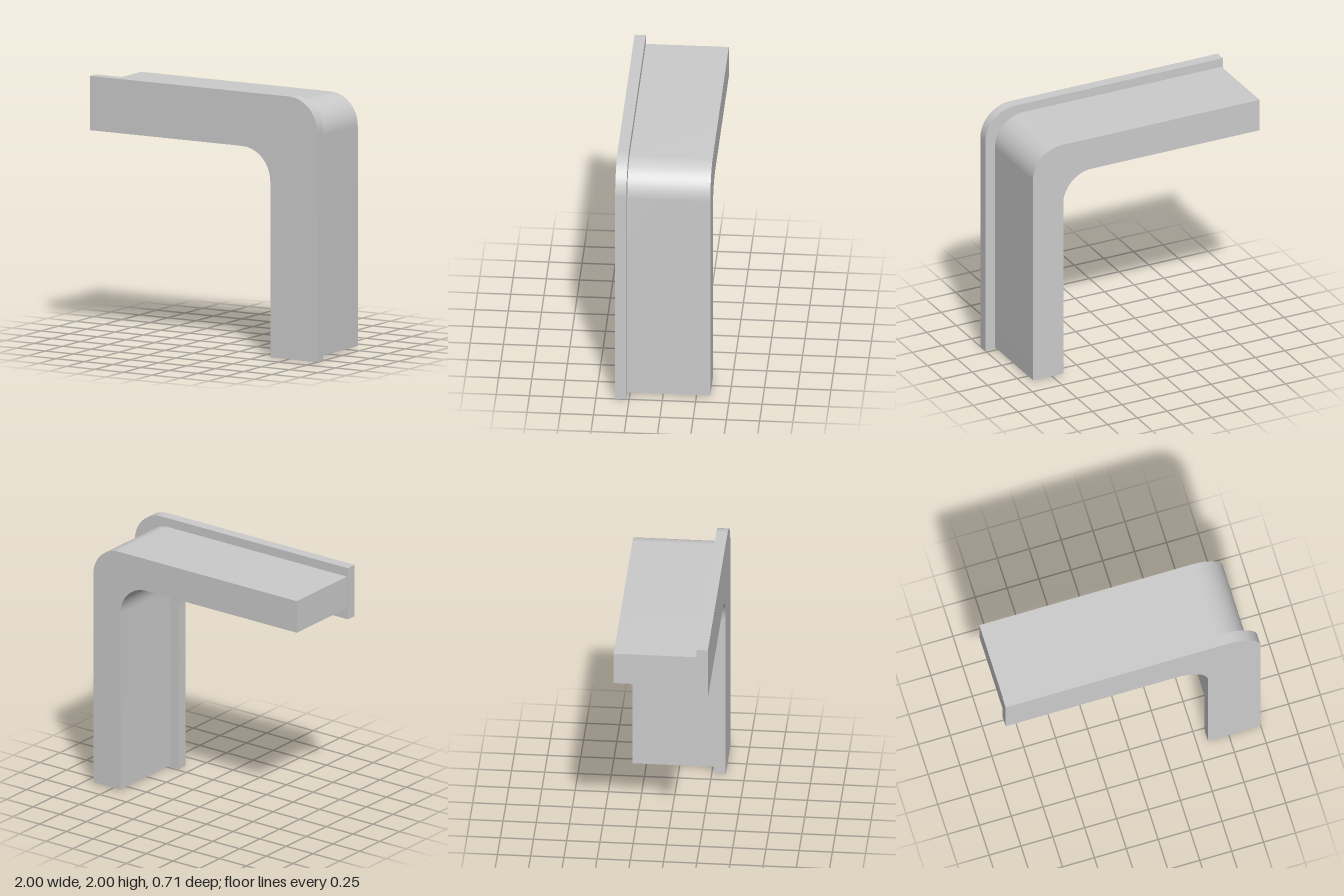
import * as THREE from 'three';
import { toCreasedNormals } from 'three/addons/utils/BufferGeometryUtils.js';

const material = new THREE.MeshStandardMaterial({ color: 0xcccccc });

// L-shaped bar with rounded outer and inner corners, extruded from z0 to z1
function elbow(name, { left, right, bottom, top, thick, radius, z0, z1 }) {
  const innerX = right - thick, innerY = top - thick;
  const s = new THREE.Shape();
  s.moveTo(innerX, bottom);
  s.lineTo(right, bottom);
  s.lineTo(right, top - radius);
  s.absarc(right - radius, top - radius, radius, 0, Math.PI / 2, false);
  s.lineTo(left, top);
  s.lineTo(left, innerY);
  s.lineTo(innerX - radius, innerY);
  s.absarc(innerX - radius, innerY - radius, radius, Math.PI / 2, 0, true);
  s.closePath();
  const geo = new THREE.ExtrudeGeometry(s, { depth: z1 - z0, bevelEnabled: false, curveSegments: 24 });
  geo.translate(0, 0, z0);
  const mesh = new THREE.Mesh(toCreasedNormals(geo, 0.5), material);
  mesh.name = name;
  return mesh;
}

export function createModel() {
  const group = new THREE.Group();
  group.name = 'elbowTrim';
  // Thin wide flange at the front
  group.add(elbow('frontFlange', {
    left: -1, right: 1, bottom: 0, top: 2, thick: 0.413, radius: 0.25, z0: 0.27, z1: 0.355,
  }));
  // Deep narrower body behind it
  group.add(elbow('rearBody', {
    left: -0.99, right: 0.92, bottom: 0.013, top: 1.93, thick: 0.255, radius: 0.24, z0: -0.355, z1: 0.27,
  }));
  return group;
}
